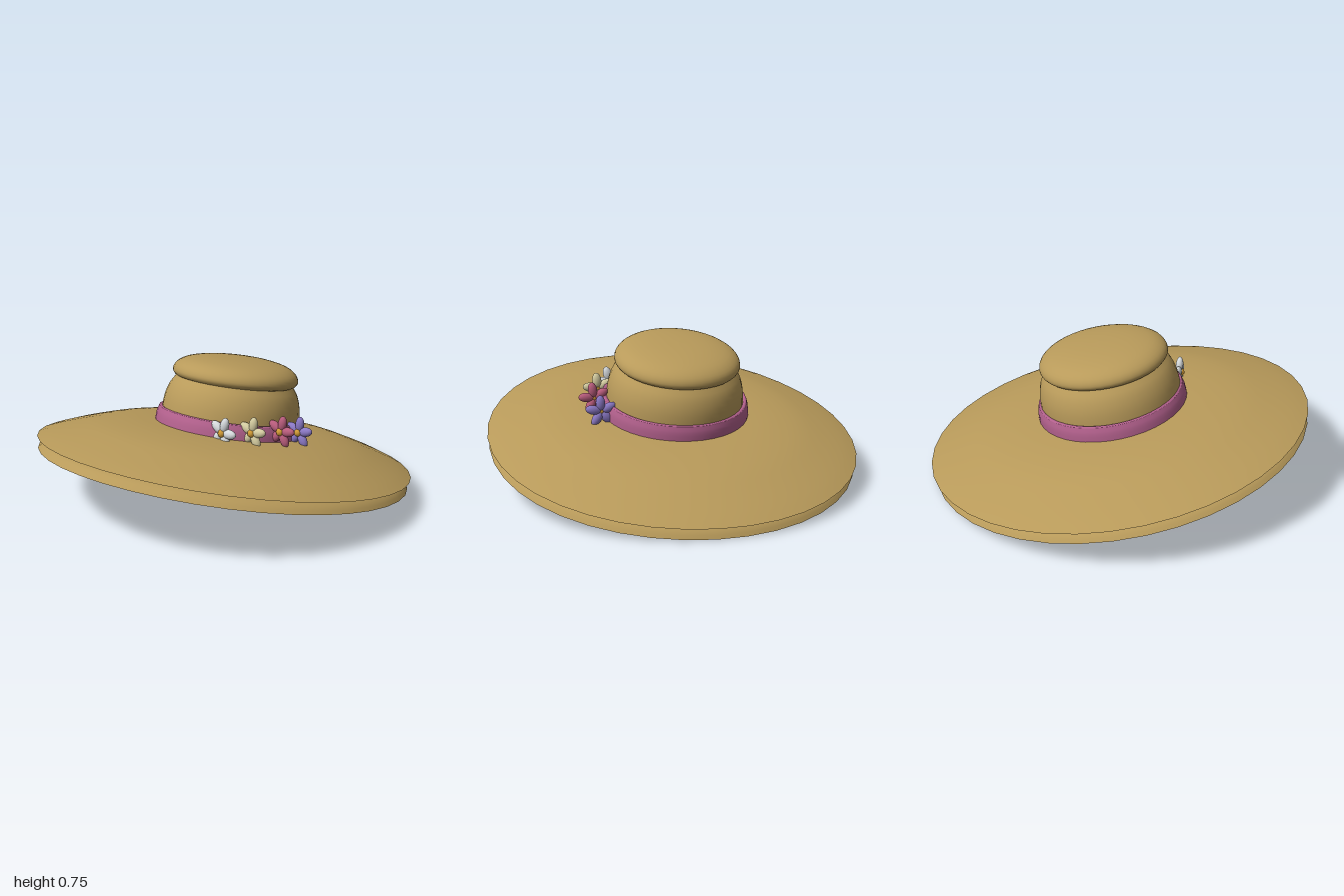
import * as THREE from 'three';

const TILT = 0.18, SEGMENTS = 40;
const STRAW = 0xb89a5a, RIBBON = 0xb2608c;

const material = (color) => new THREE.MeshStandardMaterial({ color, side: THREE.DoubleSide });
const straw = material(STRAW), ribbon = material(RIBBON);

// Smooth surface of revolution through [radius, height] points, with an oval plan
// and sides that droop slightly towards the rim.
function turned(name, profile, mat, steps = 8, oval = 0.955) {
  const curve = new THREE.CatmullRomCurve3(profile.map(([r, h]) => new THREE.Vector3(r, h, 0)));
  const points = curve.getPoints(steps).map((p) => new THREE.Vector2(Math.max(p.x, 0), p.y));
  const geometry = new THREE.LatheGeometry(points, SEGMENTS);
  const pos = geometry.attributes.position;
  for (let i = 0; i < pos.count; i++) {
    const x = pos.getX(i) * oval;
    pos.setXYZ(i, x, pos.getY(i) - 0.025 * x * x, pos.getZ(i));
  }
  const mesh = new THREE.Mesh(geometry, mat);
  mesh.name = name;
  return mesh;
}

// Five-petalled flower facing +z
function flower(color, spin) {
  const group = new THREE.Group();
  group.name = 'flower';
  const petalGeometry = new THREE.SphereGeometry(1, 14, 10).scale(0.042, 0.024, 0.02);
  const petalMaterial = material(color);
  for (let i = 0; i < 5; i++) {
    const a = spin + (i * Math.PI * 2) / 5;
    const petal = new THREE.Mesh(petalGeometry, petalMaterial);
    petal.name = 'petal';
    petal.position.set(Math.cos(a) * 0.042, Math.sin(a) * 0.042, 0);
    petal.rotation.z = a;
    group.add(petal);
  }
  const heart = new THREE.Mesh(new THREE.SphereGeometry(0.021, 12, 8), material(0xd09a35));
  heart.name = 'flowerCentre';
  heart.position.z = 0.008;
  group.add(heart);
  return group;
}

export function createModel() {
  const model = new THREE.Group();
  model.name = 'sunHat';

  // Hat tipped back so that the front of the brim is raised
  const hat = new THREE.Group();
  hat.name = 'hat';
  hat.position.set(0, 0.18, 0.005);
  hat.rotation.x = -TILT;
  model.add(hat);

  // Double brim: two layers with a V-shaped groove between their edges
  hat.add(
    turned('brimTop', [[0.36, 0.192], [0.52, 0.183], [0.685, 0.16], [0.82, 0.125], [0.94, 0.088], [1.01, 0.062]], straw, 14),
    turned('upperBrimEdge', [[1.01, 0.062], [0.98, 0.055], [0.94, 0.048]], straw, 4),
    turned('lowerBrimEdge', [[0.94, 0.048], [0.975, 0.03], [1.0, 0]], straw, 4),
    turned('brimUnderside', [[1.0, 0], [0.92, 0.03], [0.8, 0.075], [0.6, 0.13], [0.36, 0.172]], straw, 12)
  );

  // Crown with a separate overhanging cap
  hat.add(
    turned('crown', [[0.372, 0.18], [0.372, 0.26], [0.364, 0.33], [0.343, 0.39], [0.312, 0.435]], straw, 12),
    turned('crownCap', [[0.305, 0.43], [0.325, 0.438], [0.338, 0.458], [0.328, 0.49], [0.285, 0.522], [0.2, 0.544], [0.1, 0.554], [0, 0.557]], straw, 22)
  );

  // Ribbon around the crown, also lining the opening
  hat.add(
    turned('hatBand', [[0.396, 0.18], [0.392, 0.23], [0.382, 0.262]], ribbon, 6, 0.985),
    turned('hatBandTop', [[0.382, 0.262], [0.374, 0.267], [0.362, 0.262]], ribbon, 4, 0.985),
    turned('hatBandLining', [[0.355, 0.165], [0.355, 0.21], [0.36, 0.262]], ribbon, 4, 0.96),
    turned('hatBandBottom', [[0.355, 0.167], [0.375, 0.172], [0.396, 0.18]], ribbon, 4, 0.96)
  );

  // Flowers along the left side of the ribbon
  const flowers = [
    [0.25, 0.455, 0.285, 0xd6dadd, 1.3],
    [0.35, 0.452, 0.178, 0xd3cba0, 1.45],
    [0.415, 0.44, 0.037, 0xb85c7c, 1.4],
    [0.42, 0.405, -0.098, 0x8a78c4, 1.5],
  ];
  for (const [x, y, z, color, spin] of flowers) {
    const bloom = flower(color, spin);
    bloom.position.set(x, y, z);
    model.add(bloom);
  }
  return model;
}
